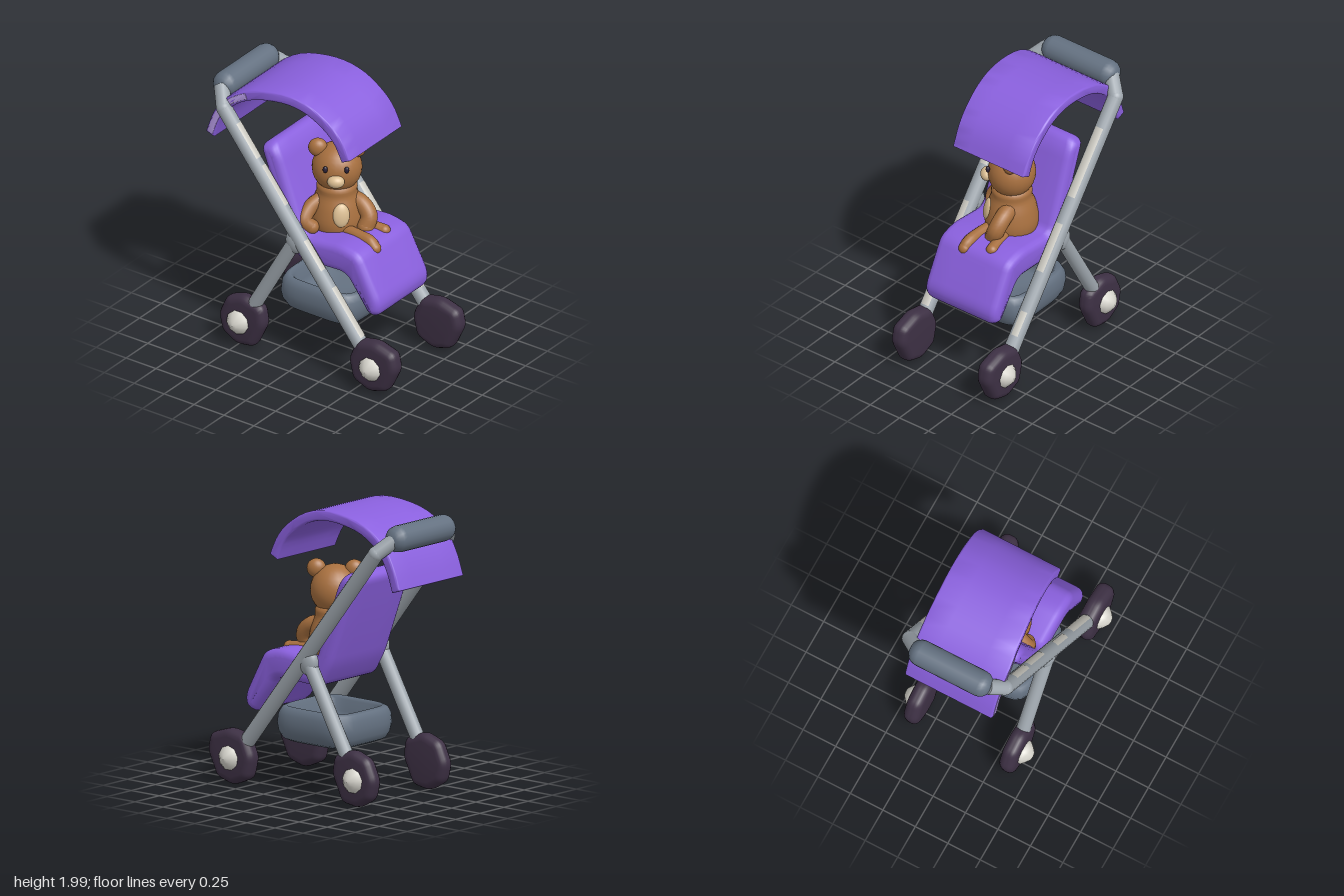
import * as THREE from 'three';
import { mergeVertices, toCreasedNormals } from 'three/addons/utils/BufferGeometryUtils.js';

const paint = (name, color) => {
  const m = new THREE.MeshStandardMaterial({ color });
  m.name = name;
  return m;
};
const V = (x, y, z) => new THREE.Vector3(x, y, z);
const P = (x, y) => new THREE.Vector2(x, y);

// Polygon with every corner rounded off
function roundedShape(pts, r) {
  const s = new THREE.Shape(), n = pts.length;
  pts.forEach((p, i) => {
    const toward = (q) => {
      const d = q.clone().sub(p);
      return p.clone().addScaledVector(d.normalize(), Math.min(r, p.distanceTo(q) * 0.45));
    };
    const u = toward(pts[(i + n - 1) % n]), v = toward(pts[(i + 1) % n]);
    if (i === 0) s.moveTo(u.x, u.y); else s.lineTo(u.x, u.y);
    s.quadraticCurveTo(p.x, p.y, v.x, v.y);
  });
  s.closePath();
  return s;
}

// Panel with soft edges: side profile extruded across z, then each vertex's z moved by a rule
function padded(shape, width, bevel, moveZ = (x, y, z) => z) {
  const g = new THREE.ExtrudeGeometry(shape, {
    depth: width - 2 * bevel, steps: 4, bevelSize: bevel, bevelThickness: bevel,
    bevelOffset: -bevel, bevelSegments: 4, curveSegments: 5,
  }).translate(0, 0, bevel - width / 2);
  const p = g.attributes.position;
  for (let i = 0; i < p.count; i++) p.setZ(i, moveZ(p.getX(i), p.getY(i), p.getZ(i)));
  return toCreasedNormals(g, 0.85);
}

// Strip of even thickness following part of a curve
function strip(curve, t0, t1, half) {
  const outer = [], inner = [];
  for (let i = 0; i <= 28; i++) {
    const u = t0 + (t1 - t0) * i / 28;
    const p = curve.getPoint(u), t = curve.getTangent(u);
    outer.push(P(p.x - t.y * half, p.y + t.x * half));
    inner.unshift(P(p.x + t.y * half, p.y - t.x * half));
  }
  return new THREE.Shape([...outer, ...inner]);
}

// Round bar along z with softened ends
function drum(r, half, soft, sides) {
  const pts = [P(0, -half)];
  for (let i = 0; i <= 4; i++) {
    const a = (i / 4) * Math.PI / 2;
    pts.push(P(r - soft + soft * Math.sin(a), -half + soft - soft * Math.cos(a)));
  }
  const mirrored = pts.map((p) => P(p.x, -p.y)).reverse();
  return new THREE.LatheGeometry([...pts, ...mirrored], sides).rotateX(Math.PI / 2);
}

export function createModel() {
  const mat = {
    fabric: paint('purple fabric', 0x8a60de),
    trim: paint('pale lavender trim', 0xb79ce6),
    frame: paint('grey metal', 0x9ea6ad),
    worn: paint('pale worn metal', 0xc9c7bf),
    slate: paint('slate plastic', 0x647181),
    tyre: paint('dark tyre', 0x3d3044),
    hub: paint('off white hub', 0xd6d4cc),
    fur: paint('brown fur', 0xa8703f),
    tan: paint('tan plush', 0xdabd92),
    eye: paint('dark eye', 0x2a2036),
  };
  const model = new THREE.Group();
  model.name = 'stroller';
  const add = (name, geo, m, parent = model) => {
    const mesh = new THREE.Mesh(geo, m);
    mesh.name = name;
    parent.add(mesh);
    return mesh;
  };
  const ball = (name, m, pos, scale, parent) => {
    const b = add(name, new THREE.SphereGeometry(1, 24, 16), m, parent);
    b.position.set(...pos);
    b.scale.set(...scale);
    return b;
  };
  const rod = (name, a, b, r, m) => {
    const d = b.clone().sub(a);
    const mesh = add(name, new THREE.CylinderGeometry(r, r, d.length(), 16), m);
    mesh.position.copy(a).addScaledVector(d, 0.5);
    mesh.quaternion.setFromUnitVectors(V(0, 1, 0), d.normalize());
  };

  // Uneven wheel outlines and pointed hubs
  const wheels = [
    ['frontWheel', 0.62, 0.126, [P(0.425, 0.21), P(0.49, 0.36), P(0.64, 0.39), P(0.8, 0.34), P(0.825, 0.22),
      P(0.74, 0.04), P(0.6, 0), P(0.46, 0.06)]],
    ['backWheel', -0.485, 0.114, [P(-0.665, 0.2), P(-0.6, 0.345), P(-0.46, 0.395), P(-0.3, 0.34), P(-0.28, 0.21),
      P(-0.37, 0.02), P(-0.51, 0), P(-0.635, 0.07)]],
  ];
  const hubProfile = [P(0.088, -0.02), P(0.086, 0.012), P(0.06, 0.038), P(0.03, 0.06), P(0, 0.066)];

  for (const s of [1, -1]) {
    // Frame sides
    const z = s > 0 ? 0.363 : -0.373;
    const foot = V(0.56, 0.24, z), top = V(-0.645, 1.775, z);
    rod('mainBar', foot, top, 0.054, mat.frame);
    rod('handleCorner', top, V(-0.73, 1.87, s * 0.27), 0.054, mat.frame);
    ball('cornerJoint', mat.frame, [top.x, top.y, z], [0.054, 0.054, 0.054]);
    rod('backLeg', V(-0.03, 0.97, z), V(-0.43, 0.26, z), 0.05, mat.frame);
    ball('legJoint', mat.frame, [-0.045, 0.94, z], [0.075, 0.095, 0.053]);

    // Worn patches on the upper face of the bar: start, end, turn, spread
    const patches = s > 0
      ? [[0.07, 0.27, 0.1, 1.1], [0.34, 0.46, -0.1, 0.9], [0.6, 0.76, 0.15, 1], [0.79, 0.93, 0, 1]]
      : [[0.1, 0.19, 0.2, 0.9], [0.34, 0.52, 0, 1.1], [0.62, 0.88, 0.1, 1.1]];
    const dir = top.clone().sub(foot);
    for (const [t0, t1, turn, spread] of patches) {
      const patch = add('wornPatch', new THREE.CylinderGeometry(0.0565, 0.0565, (t1 - t0) * dir.length(),
        8, 1, true, Math.PI / 2 + turn - spread / 2, spread), mat.worn);
      patch.position.copy(foot).addScaledVector(dir, (t0 + t1) / 2);
      patch.rotation.z = Math.atan2(-dir.x, dir.y);
    }

    // Wheels and hubs
    for (const [name, x, width, outline] of wheels) {
      add(name, padded(roundedShape(outline, 0.04), width, 0.05), mat.tyre).position.z = z;
      const hub = add('hub', new THREE.LatheGeometry(hubProfile, 9), mat.hub);
      hub.position.set(x, 0.19, s * 0.425);
      hub.rotation.x = s * Math.PI / 2;
    }
  }

  // Handle grip
  add('handle', drum(0.092, 0.31, 0.08, 20), mat.slate).position.set(-0.73, 1.87, -0.01);

  // Seat: backrest, base and leg rest in one padded profile, narrowing at both ends
  const seat = roundedShape([
    P(-0.4, 1.54), P(-0.3, 1.585), P(-0.23, 1.5), P(-0.03, 0.94), P(0.28, 0.975), P(0.43, 0.94),
    P(0.6, 0.62), P(0.59, 0.53), P(0.52, 0.485), P(0.32, 0.77), P(-0.07, 0.75), P(-0.17, 0.92),
  ], 0.06);
  add('seat', padded(seat, 0.615, 0.055, (x, y, z) => {
    const f = Math.max(0, (y - 1.5) / 0.085, (0.57 - y) / 0.085);
    return z * (1 - 0.15 * f * f);
  }), mat.fabric);

  // Canopy: curved sheet, skewed so that one side tapers towards the front
  const arc = new THREE.SplineCurve([P(-0.775, 1.52), P(-0.72, 1.67), P(-0.63, 1.805), P(-0.45, 1.918),
    P(-0.2, 1.963), P(-0.01, 1.933), P(0.14, 1.845), P(0.235, 1.745), P(0.298, 1.615)]);
  const skew = (x, y, z) => {
    const f = THREE.MathUtils.clamp((x + 0.55) / 0.85, 0, 1);
    return z > 0 ? z * (1.03 - 0.25 * f) : z * (0.955 + 0.075 * f);
  };
  add('canopy', padded(strip(arc, 0, 1, 0.036), 0.68, 0.016, skew), mat.fabric);
  add('canopyTrim', padded(strip(arc, 0.02, 0.36, 0.022), 0.006, 0.002,
    (x, y, z) => z + skew(x, y, 0.34)), mat.trim);

  // Basket: lathe tray with a fat rolled rim, pushed out to a rounded square
  let basket = new THREE.LatheGeometry([P(0, 0.33), P(0.78, 0.33), P(0.9, 0.35), P(0.97, 0.395), P(1, 0.455),
    P(0.98, 0.52), P(0.92, 0.56), P(0.84, 0.573), P(0.77, 0.55), P(0.72, 0.47), P(0.66, 0.42), P(0, 0.41)], 48);
  const bp = basket.attributes.position;
  for (let i = 0; i < bp.count; i++) {
    const x = bp.getX(i), z = bp.getZ(i), r = Math.hypot(x, z) || 1;
    const k = 1 / Math.pow(Math.abs(x / r) ** 5 + Math.abs(z / r) ** 5 || 1, 0.2);
    bp.setXYZ(i, 0.045 + x * k * 0.325, bp.getY(i), z * k * 0.307);
  }
  basket.deleteAttribute('normal');
  basket.deleteAttribute('uv');
  basket = mergeVertices(basket, 1e-4);
  basket.computeVertexNormals();
  add('basket', basket, mat.slate);

  // Toy bear, turned partly to the side
  const bear = new THREE.Group();
  bear.name = 'toyBear';
  bear.position.set(0.03, 0, -0.01);
  bear.rotation.y = 0.58;
  model.add(bear);
  const torso = new THREE.SplineCurve([P(0, 0.9), P(0.15, 0.91), P(0.185, 0.99), P(0.17, 1.1),
    P(0.14, 1.19), P(0.128, 1.26), P(0, 1.32)]).getPoints(24).map((p) => P(Math.max(0, p.x), p.y));
  add('bearBody', new THREE.LatheGeometry(torso, 28), mat.fur, bear);
  ball('bearHead', mat.fur, [0, 1.375, 0], [0.172, 0.175, 0.165], bear);
  ball('bearMuzzle', mat.tan, [0, 1.345, 0.168], [0.06, 0.045, 0.046], bear);
  const belly = ball('bearBelly', mat.tan, [0.035, 1.08, 0.158], [0.058, 0.085, 0.03], bear);
  belly.rotation.set(-0.2, 0.22, 0);
  for (const s of [1, -1]) {
    ball('bearEar', mat.fur, [s * 0.13, 1.518, 0], [0.066, 0.066, 0.052], bear);
    ball('bearEye', mat.eye, [s * 0.073, 1.432, 0.157], [0.017, 0.025, 0.014], bear);
  }

  // Bear limbs
  const limb = (name, r, pts) => {
    add(name, new THREE.TubeGeometry(new THREE.CatmullRomCurve3(pts), 16, r, 12), mat.fur);
    for (const p of [pts[0], pts[pts.length - 1]]) ball(name + 'End', mat.fur, p.toArray(), [r, r, r]);
  };
  limb('bearLeftArm', 0.06, [V(0.1, 1.14, -0.06), V(0.2, 1.11, -0.07), V(0.262, 1.04, -0.06), V(0.255, 0.97, -0.03)]);
  limb('bearRightArm', 0.052, [V(-0.03, 1.15, 0.07), V(-0.07, 1.1, 0.16), V(-0.07, 1.03, 0.225), V(-0.03, 0.98, 0.2)]);
  limb('bearLeftLeg', 0.042, [V(0.12, 0.96, -0.05), V(0.25, 0.955, -0.08), V(0.36, 0.945, -0.1)]);
  limb('bearRightLeg', 0.043, [V(0.1, 0.96, 0.06), V(0.28, 0.955, 0.08), V(0.38, 0.945, 0.085), V(0.418, 0.91, 0.09)]);

  return model;
}
